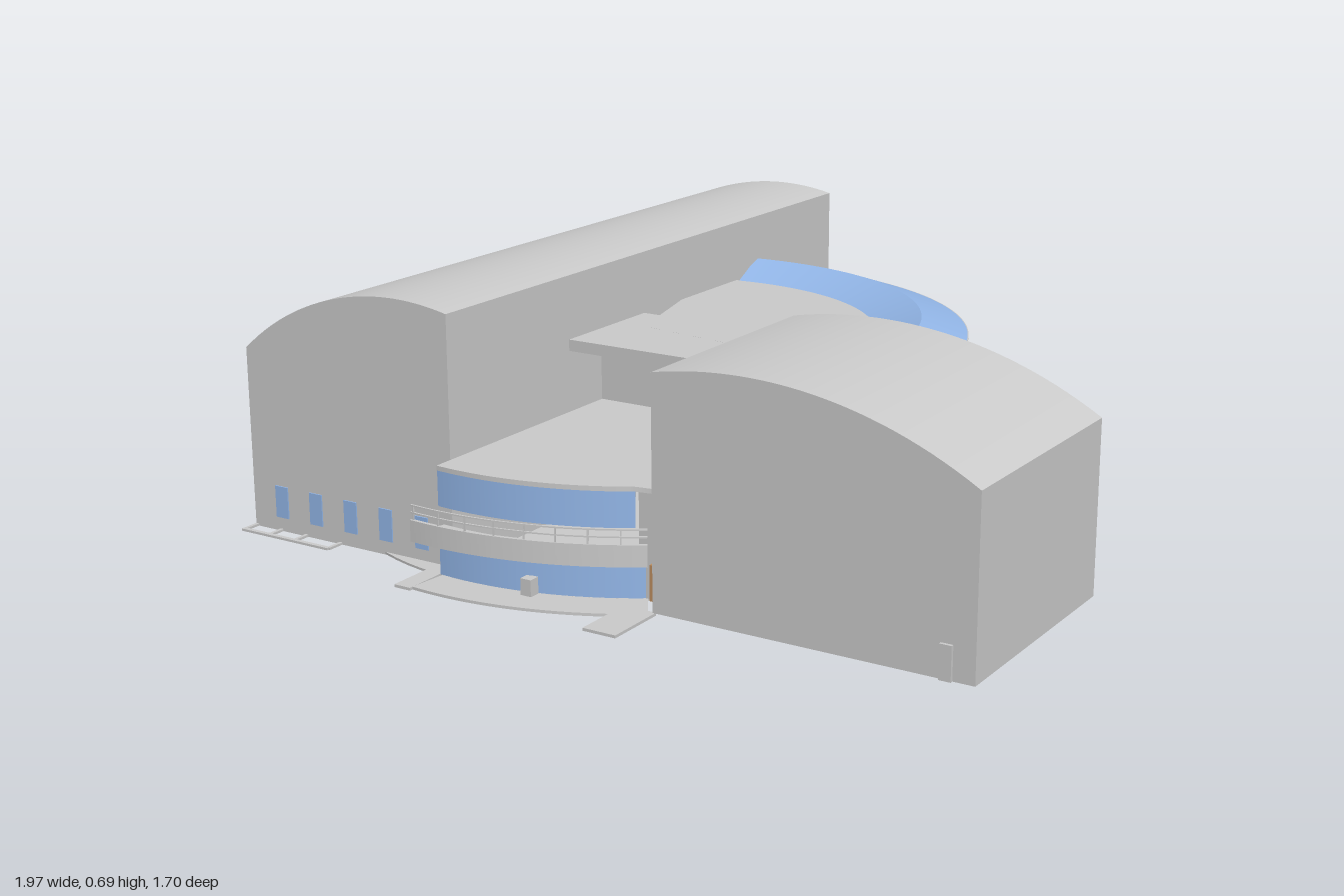
import * as THREE from 'three';
import { toCreasedNormals } from 'three/addons/utils/BufferGeometryUtils.js';

const grey = new THREE.MeshStandardMaterial({ color: 0xcccccc, side: THREE.DoubleSide });
const glass = new THREE.MeshStandardMaterial({ color: 0x94b8ea, side: THREE.DoubleSide });
const wood = new THREE.MeshStandardMaterial({ color: 0xc09060, side: THREE.DoubleSide });

// Centre of all the round parts, and the ground floor level
const CX = -0.13, CZ = 0.105, G = 0.14;
const rad = THREE.MathUtils.degToRad;

export function createModel() {
  const root = new THREE.Group();
  const add = (name, geo, mat = grey) => {
    const m = new THREE.Mesh(geo, mat);
    m.name = name;
    root.add(m);
    return m;
  };
  // Box given by its limits
  const box = (name, x0, x1, y0, y1, z0, z1, mat) => {
    const m = add(name, new THREE.BoxGeometry(x1 - x0, y1 - y0, z1 - z0), mat);
    m.position.set((x0 + x1) / 2, (y0 + y1) / 2, (z0 + z1) / 2);
    return m;
  };
  const extrude = (shape, depth) => toCreasedNormals(
    new THREE.ExtrudeGeometry(shape, { depth, bevelEnabled: false, curveSegments: 48 }), 0.4);
  // Plan shape (x, -z) raised from y0 to y1
  const plan = (name, shape, y0, y1, mat) => {
    const m = add(name, extrude(shape, y1 - y0).rotateX(-Math.PI / 2), mat);
    m.position.y = y0;
    return m;
  };
  // Ring sector about the centre; angles in degrees, 0 = +x, 90 = back
  const sector = (name, r0, r1, y0, y1, a0, a1, mat) => {
    const s = new THREE.Shape();
    s.absarc(CX, -CZ, r1, rad(a0), rad(a1), false);
    if (r0 > 0) s.absarc(CX, -CZ, r0, rad(a1), rad(a0), true);
    else s.lineTo(CX, -CZ);
    return plan(name, s, y0, y1, mat);
  };
  // Box placed on the circle, turned to face outward
  const radial = (name, r, a, y, dr, h, w, mat) => {
    const m = add(name, new THREE.BoxGeometry(dr, h, w), mat);
    m.position.set(CX + r * Math.cos(rad(a)), y, CZ - r * Math.sin(rad(a)));
    m.rotation.y = rad(a);
    return m;
  };

  // Vaulted halls: arched shell, open below, with two end walls
  const hall = (name, left, mid, right, z0, z1) => {
    const [ax, ay] = left, [bx, by] = mid, [cx, cy] = right;
    const d = 2 * (ax * (by - cy) + bx * (cy - ay) + cx * (ay - by));
    const A = ax * ax + ay * ay, B = bx * bx + by * by, C = cx * cx + cy * cy;
    const ux = (A * (by - cy) + B * (cy - ay) + C * (ay - by)) / d;
    const uy = (A * (cx - bx) + B * (ax - cx) + C * (bx - ax)) / d;
    const R = Math.hypot(ax - ux, ay - uy), n = 28, t = 0.012;
    const outer = [new THREE.Vector2(ax, G)];
    for (let i = 0; i <= n; i++) {
      const x = ax + (cx - ax) * i / n;
      outer.push(new THREE.Vector2(x, uy + Math.sqrt(Math.max(0, R * R - (x - ux) ** 2))));
    }
    outer.push(new THREE.Vector2(cx, G));
    const mx = (ax + cx) / 2, k = 1 - 2 * t / (cx - ax);
    const inner = outer.map(p => new THREE.Vector2(mx + (p.x - mx) * k, p.y > G ? p.y - t : G));
    add(name + 'Vault', extrude(new THREE.Shape([...outer, ...inner.reverse()]), z1 - z0)).position.z = z0;
    for (const [end, z] of [['BackWall', z0], ['FrontWall', z1 - t]])
      add(name + end, extrude(new THREE.Shape(outer), t)).position.z = z;
  };
  hall('longHall', [-0.74, 0.53], [-0.35, 0.685], [-0.2, 0.67], -0.85, 0.705);
  hall('sideHall', [0.285, 0.62], [0.47, 0.64], [0.97, 0.505], 0.17, 0.705);

  // Ground floors and lift pits
  box('longHallFloor', -0.74, -0.2, G - 0.006, G, -0.85, 0.705);
  sector('roundFloor', 0, 0.65, G - 0.005, G, 0, 360);
  box('frontPit', -0.66, -0.55, 0, G, 0.095, 0.185);
  box('backPit', -0.46, -0.37, 0, G, -0.22, -0.1);

  // Glass drum with a sloped crown
  const a0 = -5, a1 = 97;
  sector('drumWall', 0.69, 0.705, G, 0.53, a0, a1, glass);
  const crown = add('drumCrown', toCreasedNormals(new THREE.LatheGeometry(
    [[0.705, 0.53], [0.605, 0.565], [0.505, 0.53]].map(p => new THREE.Vector2(...p)),
    56, rad(a0 + 90), rad(a1 - a0)), 0.2), glass);
  crown.position.set(CX, 0, CZ);
  for (let a = a0 + 3; a < a1; a += 5) radial('drumMullion', 0.705, a, 0.335, 0.004, 0.39, 0.002);
  for (const y of [0.235, 0.285, 0.37, 0.45, 0.529])
    sector('drumTransom', 0.7, 0.707, y - 0.001, y + 0.001, a0, a1);
  for (const a of [12, 24, 38, 78]) radial('drumDoor', 0.705, a, 0.18, 0.012, 0.08, 0.06);

  // Upper roof, overhanging a recessed wall
  sector('upperRoof', 0, 0.507, 0.505, 0.53, -8, 105);
  box('roofOverhang', -0.2, 0.285, 0.505, 0.5299, 0, 0.29);
  box('recessedWall', -0.2, 0.285, 0.37, 0.505, 0.16, 0.17);
  box('recessReturn', 0.215, 0.285, 0.37, 0.505, 0.17, 0.285);

  // Curved front block with terrace and balcony
  const terrace = new THREE.Shape();
  terrace.moveTo(-0.2, -0.1);
  terrace.lineTo(0.285, -0.1);
  terrace.lineTo(0.285, -0.645);
  terrace.absarc(CX, -CZ, 0.65, rad(-58), rad(-96), true);
  plan('terrace', terrace, 0.36, 0.37);
  sector('frontUpperGlass', 0.64, 0.649, 0.285, 0.36, -96, -58, glass);
  sector('frontLowerGlass', 0.64, 0.649, G, 0.235, -96, -56, glass);
  box('frontSideWall', 0.215, 0.285, G, 0.365, 0.17, 0.645);
  sector('frontBalconyFloor', 0.64, 0.735, 0.235, 0.245, -95.5, -56);
  sector('frontBalconyParapet', 0.727, 0.735, 0.235, 0.28, -95.5, -56);
  for (const y of [0.295, 0.31]) sector('frontBalconyRail', 0.729, 0.733, y - 0.0015, y + 0.0015, -95.5, -56);
  for (let a = -95; a < -56; a += 5) radial('frontRailPost', 0.731, a, 0.295, 0.003, 0.03, 0.003);
  sector('frontPaving', 0.65, 0.735, G - 0.006, G, -95.5, -56);
  box('leftRamp', -0.24, -0.2, G - 0.006, G, 0.7, 0.845);
  box('rightRamp', 0.215, 0.29, G - 0.006, G, 0.7, 0.84);
  box('frontDoor', 0.01, 0.035, G, 0.175, 0.735, 0.76);
  box('frontSideDoor', 0.245, 0.27, G, 0.215, 0.645, 0.655, wood);

  // Curved bay and balcony on the outer side of the long hall
  sector('bayGlass', 0.6, 0.655, 0.28, 0.375, 159, 201, glass);
  sector('bayBand', 0.6, 0.66, 0.235, 0.28, 158, 202);
  sector('bayBase', 0.6, 0.652, G, 0.235, 159, 190);
  sector('bayBalconyFloor', 0.6, 0.69, 0.375, 0.385, 152, 180);
  sector('bayBalconyParapet', 0.682, 0.69, 0.375, 0.42, 152, 180);
  sector('bayStairWall', 0.672, 0.69, 0.375, 0.42, 180, 208);
  for (const y of [0.43, 0.442]) sector('bayRail', 0.684, 0.688, y - 0.0015, y + 0.0015, 152, 208);
  for (let a = 153; a < 208; a += 6) radial('bayRailPost', 0.686, a, 0.43, 0.003, 0.025, 0.003);
  box('bayDoor', -0.77, -0.74, G, 0.215, 0.5, 0.51, wood);
  box('bayPorch', -0.78, -0.74, G - 0.006, G, 0.42, 0.54);

  // Small windows, fins and doors of the halls
  for (let i = 0; i < 5; i++) {
    const x = -0.66 + i * 0.095;
    box('frontWindow', x - 0.017, x + 0.017, 0.165, 0.235, 0.7, 0.708, glass);
    if (i < 4) box('backFin', x + 0.01, x + 0.016, 0.17, 0.36, -0.854, -0.85);
  }
  box('longHallSideWindow', -0.744, -0.74, 0.16, 0.23, 0.6, 0.66, glass);
  box('sideHallDoor', 0.9, 0.925, G, 0.21, 0.7, 0.712);
  box('entrancePaving', -0.74, -0.5, G - 0.006, G - 0.001, 0.74, 0.75);
  for (const x of [-0.74, -0.67, -0.6, -0.505]) box('pavingEdge', x, x + 0.008, G - 0.006, G - 0.001, 0.7, 0.745);
  box('backStub', -0.2, -0.13, G, 0.23, -0.785, -0.778);
  box('backPorch', -0.2, -0.165, G, 0.23, -0.66, -0.64);

  // Slatted entrance canopy over a glass porch
  sector('canopyPorch', 0.7, 0.755, G, 0.24, 53, 70, glass);
  for (const r of [0.76, 0.795, 0.83, 0.865]) sector('canopySlat', r - 0.003, r + 0.003, 0.241, 0.248, 50, 71);
  for (let i = 0; i <= 6; i++) radial('canopyArm', 0.785, 50 + i * 3.5, 0.243, 0.16, 0.006, 0.004);

  // Yard wall with timber gates
  for (const [z0, z1] of [[-0.85, -0.78], [-0.74, -0.45], [-0.26, 0.18]])
    box('yardWall', -0.956, -0.948, G, 0.225, z0, z1);
  box('yardBackWall', -0.956, -0.78, G, 0.225, -0.85, -0.843);
  for (const z of [-0.37, -0.31]) box('yardGate', -1, -0.955, G, 0.24, z - 0.006, z + 0.006, wood);
  box('gatePier', -0.956, -0.948, G, 0.235, -0.37, -0.31, wood);
  box('yardKerb', -0.783, -0.78, G, G + 0.003, -0.85, -0.31);
  box('yardKerbEnd', -0.95, -0.78, G, G + 0.003, -0.313, -0.31);

  return root;
}
